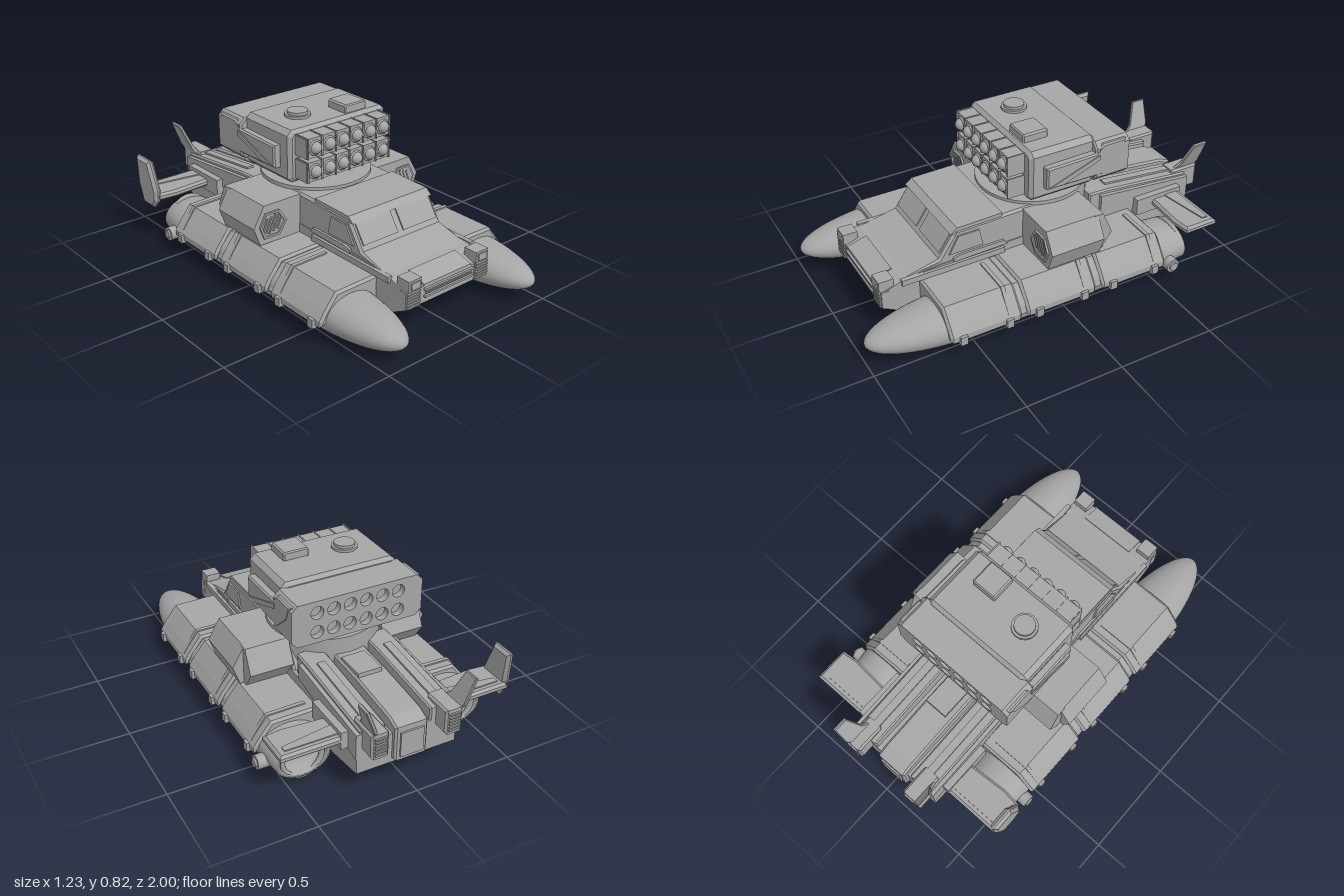
import * as THREE from 'three';

export function createModel() {
  const root = new THREE.Group();
  root.name = 'amphibiousLauncher';
  const grey = new THREE.MeshStandardMaterial({ color: 0xa6a6a6 });
  grey.name = 'plain grey';

  const add = (name, geo, x = 0, y = 0, z = 0) => {
    const m = new THREE.Mesh(geo, grey);
    m.name = name;
    m.position.set(x, y, z);
    root.add(m);
    return m;
  };
  // box given by its limits on each axis
  const box = (name, x0, x1, y0, y1, z0, z1) => add(name,
    new THREE.BoxGeometry(Math.abs(x1 - x0), y1 - y0, z1 - z0), (x0 + x1) / 2, (y0 + y1) / 2, (z0 + z1) / 2);
  const shapeOf = pts => new THREE.Shape(pts.map(p => new THREE.Vector2(p[0], p[1])));
  const extrude = (shape, depth, bevel = 0) => {
    const g = new THREE.ExtrudeGeometry(shape, {
      depth: depth - 2 * bevel, bevelEnabled: bevel > 0, bevelSize: bevel, bevelOffset: -bevel,
      bevelThickness: bevel, bevelSegments: 1, curveSegments: 12,
    });
    return g.translate(0, 0, bevel);
  };
  // (x, y) outline running from z0 to z1
  const alongZ = (name, pts, z0, z1, bevel) => add(name, extrude(shapeOf(pts), z1 - z0, bevel), 0, 0, z0);
  // (z, y) outline running from x0 to x1
  const alongX = (name, pts, x0, x1, bevel) => add(name,
    extrude(shapeOf(pts), x1 - x0, bevel).rotateY(-Math.PI / 2), x1, 0, 0);
  // (x, z) outline running from y0 to y1
  const alongY = (name, pts, y0, y1, bevel) => add(name,
    extrude(shapeOf(pts), y1 - y0, bevel).rotateX(Math.PI / 2), 0, y1, 0);
  const disc = (name, r, h, x, y, z, axis = 'y', sides = 24) => {
    const g = new THREE.CylinderGeometry(r, r, h, sides);
    if (axis === 'z') g.rotateX(Math.PI / 2);
    if (axis === 'x') g.rotateZ(Math.PI / 2);
    return add(name, g, x, y, z);
  };

  // Hull and cabin
  alongX('hull', [[0.7, 0.075], [0.84, 0.15], [0.84, 0.235], [0.74, 0.27], [0.54, 0.29],
    [-0.4, 0.3], [-0.9, 0.28], [-0.9, 0.12], [-0.69, 0.09]], -0.26, 0.26);
  alongX('cabin', [[0.74, 0.265], [0.54, 0.315], [0.45, 0.448], [0.15, 0.455], [-0.2, 0.455], [-0.3, 0.28]], -0.255, 0.255, 0.012);
  alongX('roofVisor', [[0.475, 0.432], [0.44, 0.46], [0.2, 0.465], [0.2, 0.445], [0.44, 0.43]], -0.25, 0.25);
  disc('turretRing', 0.28, 0.22, 0, 0.36, -0.1, 'y', 40);
  disc('turretNeck', 0.1, 0.05, 0, 0.485, -0.12);
  box('neckBlock', -0.04, 0.04, 0.465, 0.51, -0.02, 0.02);
  alongX('hoodBlade', [[0.842, 0.245], [0.74, 0.275], [0.74, 0.26], [0.842, 0.23]], -0.15, 0.15);

  // Nose grille
  box('grilleTop', -0.15, 0.165, 0.215, 0.225, 0.84, 0.852);
  box('grilleBottom', -0.15, 0.165, 0.18, 0.19, 0.84, 0.852);
  for (let i = 0; i < 2; i++) box('grilleSlat', -0.14, 0.155, 0.194 + i * 0.011, 0.199 + i * 0.011, 0.84, 0.846);

  // Windscreen panes, tilted with the screen
  for (const s of [-1, 1]) {
    const pane = add('windscreenPane', new THREE.BoxGeometry(0.215, 0.11, 0.009), s * 0.125, 0.383, 0.497);
    pane.rotation.x = -Math.atan2(0.09, 0.133);
  }

  // Nozzle and pontoon profile: radius, length along the axis
  const pontoonProfile = [[0.0, -0.63], [0.72, -0.63], [0.76, -0.69], [0.9, -0.69], [0.95, -0.6], [1, -0.53], [1, 0.5]];
  for (let i = 0; i <= 14; i++) {
    const a = (i / 14) * Math.PI / 2;
    pontoonProfile.push([Math.cos(a), 0.5 + 0.5 * Math.sin(a)]);
  }

  for (const s of [-1, 1]) {
    const m = pts => pts.map(([x, y]) => [x * s, y]);
    const sbox = (name, x0, x1, ...r) => box(name, Math.min(s * x0, s * x1), Math.max(s * x0, s * x1), ...r);
    const sX = (name, pts, x0, x1, b) => alongX(name, pts, Math.min(s * x0, s * x1), Math.max(s * x0, s * x1), b);

    // Pontoons
    const pontoon = new THREE.LatheGeometry(pontoonProfile.map(p => new THREE.Vector2(p[0], p[1])), 40);
    pontoon.rotateX(Math.PI / 2).scale(0.153, 0.107, 1);
    add('pontoon', pontoon, s * 0.412, 0.112, 0);
    add('nozzleRing', new THREE.TorusGeometry(0.1, 0.014, 8, 32), s * 0.412, 0.112, -0.675);

    // Armour covers over the pontoons, with ribs in the gaps
    const cover = [[0.25, 0.12], [0.25, 0.25], [0.495, 0.245], [0.555, 0.17], [0.585, 0.125], [0.585, 0.095], [0.56, 0.1]];
    for (const [z0, z1] of [[-0.54, -0.165], [-0.13, 0.25], [0.28, 0.65]]) {
      alongZ('pontoonCover', m(cover), z0, z1, 0.012);
      const strap = alongZ('coverStrap', m([[0.3, 0.245], [0.3, 0.256], [0.5, 0.252], [0.578, 0.14], [0.565, 0.13], [0.49, 0.24]]), z0 + 0.05, z0 + 0.07);
      strap.updateMatrix();
      for (const z of [z0 + 0.07, z1 - 0.06]) sbox('coverLatch', 0.57, 0.6, 0.08, 0.125, z - 0.018, z + 0.018);
    }
    alongZ('pontoonRib', m([[0.25, 0.12], [0.25, 0.235], [0.485, 0.23], [0.545, 0.165], [0.572, 0.11], [0.55, 0.1]]), -0.5, 0.62);
    disc('sideThruster', 0.036, 0.06, s * 0.57, 0.085, -0.58, 'x', 16);
    disc('sideThrusterCap', 0.022, 0.08, s * 0.57, 0.085, -0.58, 'x', 16);

    // Headlights and nose vents
    sbox('headlight', 0.175, 0.253, 0.24, 0.295, 0.775, 0.85);
    sbox('headlightLens', 0.187, 0.241, 0.25, 0.285, 0.85, 0.857);
    sbox('ventBlock', 0.175, 0.262, 0.15, 0.24, 0.8, 0.842);
    for (let i = 0; i < 6; i++) sbox('ventSlat', 0.18, 0.257, 0.156 + i * 0.014, 0.163 + i * 0.014, 0.84, 0.852);

    // Cabin side windows
    sX('sideWindow', [[0.49, 0.33], [0.44, 0.42], [0.33, 0.42], [0.31, 0.33]], 0.254, 0.263);
    sX('sideDoor', [[0.47, 0.305], [0.43, 0.315], [0.2, 0.315], [0.18, 0.29], [0.47, 0.285]], 0.254, 0.267);
    sbox('sillStep', 0.25, 0.275, 0.25, 0.28, 0.2, 0.74);

    // Side pods with hexagonal grilles
    alongZ('sidePod', m([[0.25, 0.25], [0.25, 0.45], [0.47, 0.45], [0.53, 0.345], [0.495, 0.25]]), -0.2, 0.09);
    sX('podTail', [[-0.18, 0.25], [-0.18, 0.45], [-0.225, 0.45], [-0.28, 0.33], [-0.225, 0.25]], 0.25, 0.475);
    const hex = [[0.34, 0.345], [0.385, 0.41], [0.465, 0.41], [0.5, 0.345], [0.475, 0.28], [0.385, 0.28]];
    const frame = shapeOf(m(hex));
    frame.holes.push(shapeOf(m(hex.map(([x, y]) => [0.425 + (x - 0.425) * 0.84, 0.345 + (y - 0.345) * 0.84]))));
    add('podGrilleFrame', extrude(frame, 0.012), 0, 0, 0.088);
    for (let i = -2; i <= 2; i++) {
      const slat = add('podGrilleSlat', new THREE.BoxGeometry(0.008, 0.1 - Math.abs(i) * 0.014, 0.006), s * (0.423 + i * 0.021), 0.345, 0.092);
      slat.rotation.z = s * 0.4;
    }

    // Rear wings
    alongY('rearWing', m([[0.22, -0.83], [0.595, -0.83], [0.595, -0.65], [0.5, -0.64], [0.22, -0.66]]), 0.245, 0.285, 0.012);
    alongY('wingPanel', m([[0.3, -0.8], [0.56, -0.8], [0.56, -0.77], [0.3, -0.73]]), 0.28, 0.291);
    sbox('wingRoot', 0.24, 0.3, 0.22, 0.31, -0.83, -0.56);

    // Rear deck beams
    sX('deckBeam', [[-0.3, 0.29], [-0.3, 0.4], [-0.42, 0.395], [-0.9, 0.345], [-0.9, 0.25]], 0.115, 0.245, 0.008);
    sX('deckRail', [[-0.36, 0.3], [-0.36, 0.38], [-0.9, 0.33], [-0.9, 0.2]], 0.235, 0.265);
    sX('deckStrip', [[-0.42, 0.39], [-0.42, 0.405], [-0.84, 0.362], [-0.84, 0.345]], 0.16, 0.2);
    // Exhaust boxes with slatted ends and canted fins
    sX('exhaustBox', [[-0.82, 0.25], [-0.82, 0.37], [-0.98, 0.37], [-0.98, 0.24]], 0.145, 0.235, 0.01);
    for (let i = 0; i < 6; i++) sbox('exhaustSlat', 0.16, 0.22, 0.258 + i * 0.017, 0.266 + i * 0.017, -0.988, -0.978);
    const fin = sX('tailFin', [[-0.84, 0], [-0.88, 0.04], [-0.92, 0.165], [-0.995, 0.165], [-0.99, 0.03], [-0.97, 0]], -0.009, 0.009, 0.004);
    fin.geometry.translate(s * 0.009, 0, 0);
    fin.position.set(s * 0.21, 0.36, 0);
    fin.rotation.z = -s * 0.36;
  }

  // Upright fin on the right wing tip
  alongX('wingTipFin', [[-0.66, 0.24], [-0.66, 0.3], [-0.72, 0.45], [-0.84, 0.45], [-0.83, 0.3], [-0.79, 0.195], [-0.7, 0.195]], -0.616, -0.576, 0.015);

  // Middle of the rear deck
  alongX('engineCover', [[-0.36, 0.28], [-0.36, 0.385], [-0.58, 0.375], [-0.86, 0.345], [-0.925, 0.32], [-0.925, 0.14], [-0.86, 0.13]], -0.09, 0.08, 0.01);
  box('engineHatch', -0.055, 0.07, 0.36, 0.397, -0.58, -0.42);
  box('rearPlate', -0.065, 0.055, 0.16, 0.29, -0.934, -0.92);

  // Launcher body
  const chamfered = (x, y0, y1, c) => [[-x + c, y0], [x - c, y0], [x, y0 + c], [x, y1 - c], [x - c, y1], [-x + c, y1], [-x, y1 - c], [-x, y0 + c]];
  alongZ('launcherBody', chamfered(0.305, 0.508, 0.775, 0.025), -0.28, 0.08, 0.018);
  alongZ('launcherRear', chamfered(0.343, 0.535, 0.752, 0.03), -0.415, -0.26, 0.008);
  const columns = [-0.22, -0.135, -0.05, 0.035, 0.12, 0.205];
  const backPlate = shapeOf(chamfered(0.343, 0.535, 0.752, 0.03));
  for (const x of columns) for (const y of [0.592, 0.692]) {
    const hole = new THREE.Path();
    hole.absarc(x + 0.0075, y, 0.033, 0, Math.PI * 2, true);
    backPlate.holes.push(hole);
  }
  add('launcherBackPlate', extrude(backPlate, 0.045), 0, 0, -0.448);
  for (const s of [-1, 1]) {
    const x0 = s > 0 ? 0.3 : -0.345;
    alongX('launcherSidePlate', [[0.01, 0.58], [0.01, 0.695], [-0.26, 0.7], [-0.3, 0.74], [-0.43, 0.74], [-0.4, 0.66], [-0.3, 0.575]], x0, x0 + 0.045, 0.008);
    alongX('sidePlateRidge', [[0, 0.59], [-0.28, 0.69], [-0.28, 0.665], [-0.08, 0.59]], s > 0 ? 0.34 : -0.35, s > 0 ? 0.35 : -0.34);
  }

  // Two rows of front tubes with rounded warheads
  for (const y of [0.585, 0.705]) {
    box('tubeRack', -0.272, 0.252, y - 0.05, y + 0.05, 0.06, 0.165);
    for (const x of columns) {
      const collar = new THREE.TorusGeometry(0.033, 0.006, 8, 24);
      add('tubeCollar', collar, x, y, 0.167);
      add('warhead', new THREE.SphereGeometry(0.031, 20, 14), x, y, 0.168);
    }
    for (let i = 0; i < 7; i++) box('rackDivider', -0.268 + i * 0.0855, -0.261 + i * 0.0855, y - 0.052, y + 0.054, 0.06, 0.172);
  }

  // Launcher roof details
  disc('roofHatchBase', 0.065, 0.02, -0.13, 0.778, -0.08, 'y', 16);
  disc('roofHatch', 0.052, 0.03, -0.13, 0.788, -0.08, 'y', 16);
  alongZ('sightBox', [[0.06, 0.77], [0.06, 0.808], [0.068, 0.817], [0.188, 0.817], [0.196, 0.808], [0.196, 0.77]], -0.08, 0.055, 0.006);

  return root;
}
